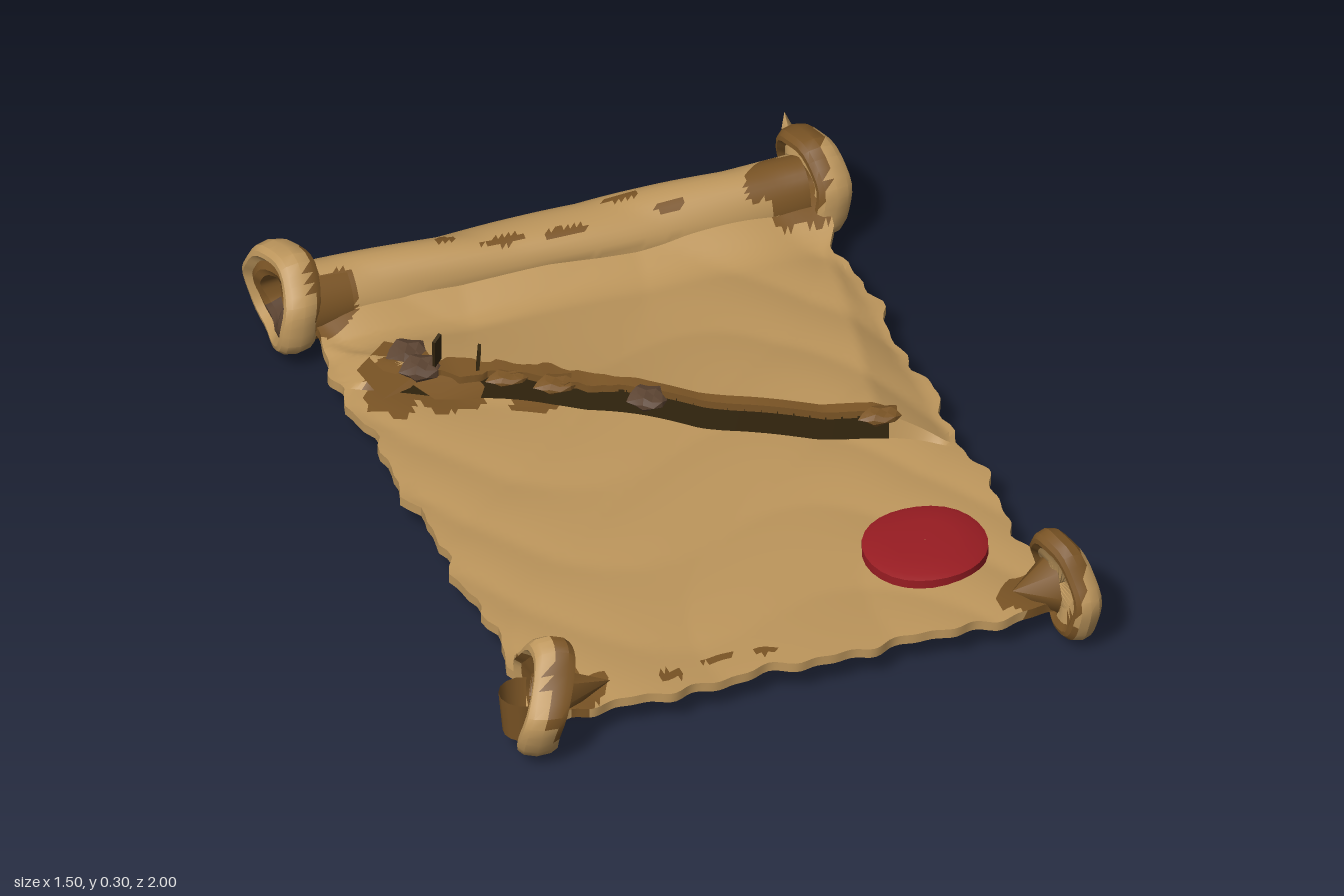
import * as THREE from 'three';
import { toCreasedNormals } from 'three/addons/utils/BufferGeometryUtils.js';

const mat = (name, color, side = THREE.FrontSide) => {
  const m = new THREE.MeshStandardMaterial({ color, side });
  m.name = name;
  return m;
};
const clamp = THREE.MathUtils.clamp, lerp = THREE.MathUtils.lerp;
const smooth = THREE.MathUtils.smoothstep;

// crumple: creased waves, and a ragged wobble for torn edges
const crumple = (x, z) =>
  0.008 * Math.abs(Math.sin(7 * x + 4 * z + 2 * Math.sin(3 * z))) +
  0.007 * Math.abs(Math.sin(9 * z - 6 * x + 2 * Math.sin(5 * x))) - 0.007;
const ragged = (t) => 0.009 * Math.sin(23 * t) + 0.008 * Math.sin(51 * t + 1) + 0.006 * Math.sin(87 * t + 2);
const blotch = (x, y, z) => Math.sin(17 * x + 5 * z) + Math.sin(19 * z - 7 * y + 2) + Math.sin(23 * y + 9 * x);

// diagonal tear across the sheet, and how far its back side is lifted
const tearZ = (x) => lerp(-0.5, 0.14, clamp((x + 0.55) / 1.1, -0.1, 1.1)) + 0.02 * Math.sin(x * 7);
const lift = (x, z) => 0.07 * clamp(Math.min((z + 0.68) / 0.2, (z + 0.68) / (tearZ(x) + 0.68),
  (0.66 - x) / 0.16, (x + 0.62) / 0.16), 0, 1);
const sheetY = (x, z) => 0.1 + crumple(x, z) + 0.07 * smooth(-z, 0.62, 0.82);
const inSpot = (x, z, spots) => spots.some(([cx, cz, rx, rz]) =>
  ((x - cx) / rx) ** 2 + ((z - cz) / rz) ** 2 < 1 + 0.3 * Math.sin(60 * x + 45 * z));

// move every vertex of a geometry by a rule
function deform(geo, rule, crease = 0.7) {
  const p = geo.attributes.position, v = new THREE.Vector3();
  for (let i = 0; i < p.count; i++) {
    rule(v.fromBufferAttribute(p, i));
    p.setXYZ(i, v.x, v.y, v.z);
  }
  return toCreasedNormals(geo, crease);
}

// give each triangle a material index from its centre and upward slope
function paint(geo, pick) {
  const p = geo.attributes.position, n = geo.attributes.normal;
  const mid = (i, get) => (get(i) + get(i + 1) + get(i + 2)) / 3;
  geo.clearGroups();
  let start = 0, last = -1;
  for (let i = 0; i < p.count; i += 3) {
    const k = pick(mid(i, (j) => p.getX(j)), mid(i, (j) => p.getY(j)), mid(i, (j) => p.getZ(j)), n.getY(i)) ? 1 : 0;
    if (k !== last && i > 0) {
      geo.addGroup(start, i - start, last);
      start = i;
    }
    last = k;
  }
  geo.addGroup(start, p.count - start, last);
  return geo;
}

export function createModel() {
  const group = new THREE.Group();
  const paper = mat('paper', 0xbd965c);
  const brown = mat('agedBrown', 0x7a5425, THREE.DoubleSide);
  const dark = mat('darkBrown', 0x5c4432, THREE.DoubleSide);
  const shade = mat('tearBrown', 0x35270f, THREE.DoubleSide);
  const red = mat('sealRed', 0x981c22);
  const stained = [paper, brown];
  const add = (name, geo, material, x = 0, y = 0, z = 0, parent = group) => {
    const m = new THREE.Mesh(geo, material);
    m.name = name;
    m.position.set(x, y, z);
    parent.add(m);
    return m;
  };

  // sheet: one row of vertices follows the tear, the next one drops down
  const rows = 90, tearRow = 42;
  const sheet = deform(new THREE.BoxGeometry(1, 1, 1, 90, 1, rows), (v) => {
    const row = Math.round((v.z + 0.5) * rows), top = v.y > 0;
    let x = lerp(-0.635, 0.68, v.x + 0.5);
    const behind = row <= tearRow;
    const front = 0.89 + ragged(x * 0.7) * 0.9;
    const z = behind ? lerp(-0.79, tearZ(x), row / tearRow)
      : lerp(tearZ(x) + 0.012, front, (row - tearRow - 1) / (rows - tearRow - 1));
    x += ragged(z * 0.7 + (v.x > 0 ? 2 : 0)) * smooth(Math.abs(v.x), 0.4, 0.5);
    v.set(x, sheetY(x, z) + (top ? (behind ? lift(x, z) : 0) : -0.025), z);
  }, 0.5);
  const sheetSpots = [[-0.57, 0.81, 0.12, 0.08], [0.63, 0.83, 0.09, 0.075], [-0.3, 0.83, 0.035, 0.02],
    [-0.17, 0.8, 0.05, 0.014], [-0.05, 0.82, 0.03, 0.014], [-0.59, -0.76, 0.1, 0.055],
    [0.63, -0.76, 0.1, 0.05], [-0.54, -0.46, 0.06, 0.09], [-0.4, -0.4, 0.08, 0.06],
    [-0.22, -0.31, 0.06, 0.04]];
  add('sheet', paint(sheet, (x, y, z, ny) => ny < -0.4 || inSpot(x, z, sheetSpots)), stained);

  // shaded face under the lifted tear
  add('tearFace', deform(new THREE.PlaneGeometry(1.04, 1, 30, 1), (v) => {
    const top = v.y > 0, z = tearZ(v.x);
    v.set(v.x, sheetY(v.x, z) + (top ? lift(v.x, z) - 0.002 : -0.005), z + 0.014);
  }), shade);

  // flat cord along the tear, broader and torn on its right half
  add('cord', deform(new THREE.BoxGeometry(1.02, 1, 1, 60, 1, 2), (v) => {
    const x = v.x + 0.02, wide = 0.018 + Math.max(0, 0.01 + ragged(x * 1.3)) * smooth(-x, -0.05, 0.1);
    const z = tearZ(x) - 0.004 + v.z * 2 * wide;
    v.set(x, sheetY(x, tearZ(x)) + lift(x, tearZ(x)) + (v.y > 0 ? 0.012 : -0.008), z);
  }), brown);

  // knots: [x, z, width, height, depth, material]
  [[-0.46, -0.45, 0.05, 0.03, 0.04, dark], [-0.18, -0.28, 0.05, 0.018, 0.035, brown],
    [0.0, -0.14, 0.045, 0.022, 0.045, dark], [0.5, 0.12, 0.05, 0.02, 0.03, brown],
    [-0.46, -0.54, 0.05, 0.035, 0.05, dark], [-0.28, -0.34, 0.05, 0.015, 0.03, brown]]
    .forEach(([x, z, w, h, d, m]) => {
      const g = deform(new THREE.IcosahedronGeometry(1, 1), (v) => v.multiplyScalar(1 + 0.15 * Math.sin(5 * v.x + 7 * v.z)), 0.3);
      add('knot', g.scale(w, h, d), m, x, sheetY(x, z) + lift(x, z), z);
    });

  // thin torn flaps lying beside the knots
  const flap = (pts) => add('tornFlap', deform(
    new THREE.ShapeGeometry(new THREE.Shape(pts.map(([x, z]) => new THREE.Vector2(x, -z)))),
    (v) => v.set(v.x, sheetY(v.x, -v.y) + (-v.y < tearZ(v.x) ? lift(v.x, -v.y) : 0.03) + 0.014, -v.y)), brown);
  flap([[-0.59, -0.54], [-0.49, -0.62], [-0.42, -0.53], [-0.42, -0.46], [-0.5, -0.41], [-0.58, -0.39]]);
  flap([[-0.5, -0.44], [-0.36, -0.42], [-0.33, -0.36], [-0.36, -0.31], [-0.46, -0.35]]);

  // upright slivers beside the knots
  [[-0.43, 0.235, -0.42, 0.1], [-0.335, 0.205, -0.39, 0.07]].forEach(([x, y, z, h], i) => {
    const s = add('sliver', new THREE.BoxGeometry(0.03, h, 0.008), shade, x, y, z);
    s.rotation.set(0.2, 0.5 * i + 0.7, 0.15 - 0.3 * i);
  });

  // hollow roll at the back, sagging a little in the middle, stained in front and below
  const lathe = (pts, seg) => new THREE.LatheGeometry(pts.map(([r, y]) => new THREE.Vector2(r, y)), seg).rotateZ(-Math.PI / 2);
  const rollWall = (r, dir) => {
    const pts = [];
    for (let i = 0; i <= 80; i++) pts.push([r, dir * lerp(-0.65, 0.65, i / 80)]);
    return deform(lathe(pts, 36), (v) => {
      const a = Math.atan2(v.y, v.z), k = 1 + 0.05 * Math.sin(3 * a + 7 * v.x) + 0.05 * Math.abs(Math.sin(9 * v.x + a));
      v.set(v.x, v.y * k + 0.03 * v.x * v.x - 0.008, v.z * k);
    });
  };
  const rollSpots = [[-0.25, -0.005, 0.025, 0.018], [-0.12, 0.035, 0.06, 0.014], [0.04, 0.045, 0.05, 0.012],
    [0.2, -0.02, 0.04, 0.014], [0.3, 0.04, 0.04, 0.012], [-0.6, 0.07, 0.11, 0.055], [0.62, 0.03, 0.12, 0.07]];
  add('roll', paint(rollWall(0.084, 1), (x, y, z) => (y > -0.02 && inSpot(x, z, rollSpots))
    || y - 0.3 * z < -0.048 + 0.012 * blotch(x, 0, z)), stained, 0, 0.148, -0.835);
  add('rollInside', rollWall(0.06, -1), brown, 0, 0.152, -0.84);

  // curled ends: blotched rim with a stained dished centre, open at the back, closed at the front
  const rim = [[0.095, -0.03], [0.11, -0.048], [0.122, -0.046], [0.133, -0.032], [0.139, 0], [0.133, 0.034],
    [0.122, 0.05], [0.108, 0.05], [0.095, 0.03]];
  const openHub = [[0.095, 0.03], [0.075, 0.036], [0.058, 0.025], [0.058, -0.025], [0.075, -0.036], [0.095, -0.03]];
  const closedHub = [[0.095, 0.03], [0.06, 0.01], [0.03, 0.014], [0.001, 0.018], [0.001, -0.018], [0.06, -0.01], [0.095, -0.03]];
  const curl = (name, [x, y, z], open, peak, lean, thick, bias, hubColours) => {
    const g = new THREE.Group();
    g.name = name;
    g.position.set(x, y, z);
    g.rotation.y = lean;
    group.add(g);
    const side = Math.sign(x);
    const bend = (v) => {
      const a = Math.atan2(v.y, v.z), k = 1 + 0.035 * Math.sin(3 * a + x * 5) + 0.025 * Math.sin(7 * a + z);
      const up = smooth(v.y, 0.02, 0.14);
      v.set(v.x * thick + 0.014 * Math.sin(2 * a + x) - 0.02 * side * (open ? 0 : v.y * 6),
        v.y * k * (1 + 0.16 * peak * up), v.z * k * (1 - 0.45 * peak * up));
    };
    // the side turned to the middle is browner than the outer one
    const isBrown = (px, py, pz) => blotch(px + x, py, pz + x) - 30 * side * px - 5 * py > bias;
    add('rim', paint(deform(lathe(rim, 32), bend, 0.5), isBrown), stained, 0, 0, 0, g);
    add('hub', paint(deform(lathe(open ? openHub : closedHub, 32), bend, 0.5),
      (px, py, pz) => blotch(px, py + x, pz) > 0), hubColours, 0, 0, 0, g);
  };
  curl('backRightCurl', [-0.66, 0.155, -0.853], true, 0, 0.06, 0.95, 0, [brown, dark]);
  curl('backLeftCurl', [0.685, 0.155, -0.853], true, 0, 0.06, 0.9, 0, stained);
  curl('frontRightCurl', [-0.64, 0.15, 0.862], false, 1, -0.25, 1, -0.8, [brown, dark]);
  curl('frontLeftCurl', [0.69, 0.148, 0.867], false, 0.4, 0.08, 0.7, -0.6, stained);

  // brown collars narrowing from the curls towards the middle
  add('backCollar', new THREE.CylinderGeometry(0.092, 0.11, 0.12, 12, 1, true, -0.6, 1.7)
    .rotateZ(Math.PI / 2).scale(-1, 1, 1), brown, -0.58, 0.15, -0.835);
  [-1, 1].forEach((s) => {
    const cone = new THREE.ConeGeometry(0.075, s < 0 ? 0.17 : 0.1, 7).rotateZ(s * Math.PI / 2);
    add('frontCollar', cone, brown, s < 0 ? -0.54 : 0.62, 0.13, 0.835);
  });

  // loose strips at two corners
  add('looseStrip', new THREE.CylinderGeometry(0.06, 0.05, 0.11, 8, 1, true, Math.PI * 0.85, Math.PI * 1.1), brown, -0.69, 0.125, 0.87);
  const tip = add('looseTip', new THREE.ConeGeometry(0.022, 0.06, 4).scale(1, 1, 0.6), paper, 0.66, 0.26, -0.95);
  tip.rotation.x = -0.5;

  // wax seal
  const seal = lathe([[0.152, -0.015], [0.152, 0.01], [0.135, 0.016], [0.08, 0.021], [0.001, 0.022]], 28).rotateZ(Math.PI / 2);
  add('waxSeal', deform(seal, (v) => { v.y += 0.003 * Math.sin(20 * v.x + 9 * v.z); }), red, 0.445, 0.114, 0.575);

  return group;
}
